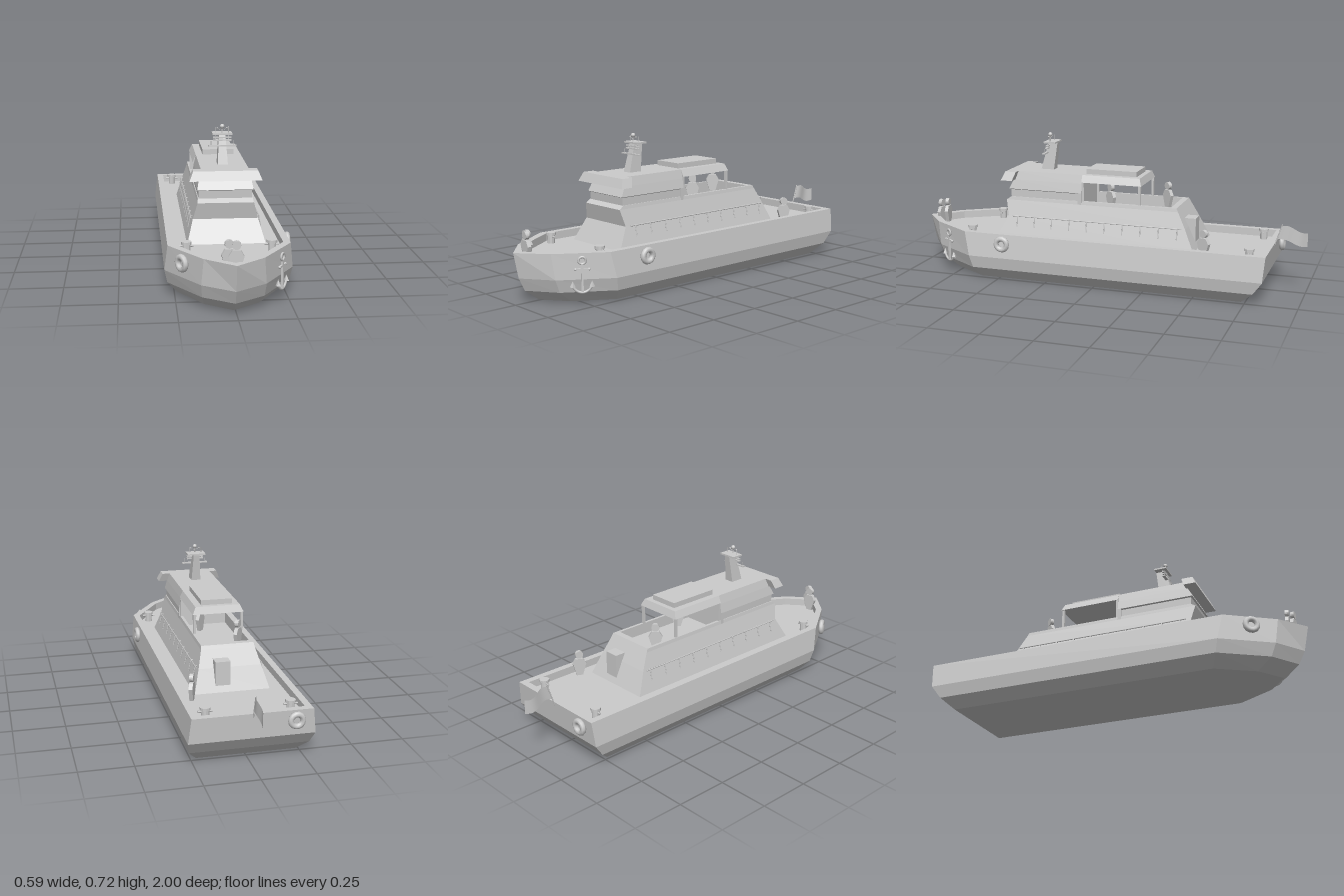
import * as THREE from 'three';

const flat = new THREE.MeshStandardMaterial({ color: 0xcccccc, flatShading: true });
const smooth = new THREE.MeshStandardMaterial({ color: 0xcccccc });
const thin = new THREE.MeshStandardMaterial({ color: 0xcccccc, side: THREE.DoubleSide });

function add(parent, name, geometry, [x, y, z] = [0, 0, 0], material = flat) {
  const mesh = new THREE.Mesh(geometry, material);
  mesh.name = name;
  mesh.position.set(x, y, z);
  parent.add(mesh);
  return mesh;
}

const box = (parent, name, w, h, d, at) => add(parent, name, new THREE.BoxGeometry(w, h, d), at);

// Cylinder between two points
function rod(parent, name, a, b, r, sides = 6) {
  const from = new THREE.Vector3(...a), to = new THREE.Vector3(...b);
  const mesh = add(parent, name, new THREE.CylinderGeometry(r, r, from.distanceTo(to), sides),
    from.clone().add(to).multiplyScalar(0.5).toArray(), smooth);
  mesh.quaternion.setFromUnitVectors(new THREE.Vector3(0, 1, 0), to.sub(from).normalize());
  return mesh;
}

// Skin over rings [y, [[x, z], ...]], closed at the first and last ring
function loft(rings) {
  const pos = [];
  const put = (...list) => list.forEach(([ring, i]) => {
    const [x, z] = ring[1][i];
    pos.push(x, ring[0], z);
  });
  const n = rings[0][1].length;
  for (let k = 0; k + 1 < rings.length; k++) {
    const lo = rings[k], hi = rings[k + 1];
    for (let i = 0; i < n; i++) {
      const j = (i + 1) % n;
      put([lo, i], [hi, i], [hi, j], [lo, i], [hi, j], [lo, j]);
    }
  }
  const first = rings[0], last = rings[rings.length - 1];
  for (let i = 1; i < n - 1; i++) {
    put([first, 0], [first, i], [first, i + 1]);
    put([last, 0], [last, i + 1], [last, i]);
  }
  const g = new THREE.BufferGeometry();
  g.setAttribute('position', new THREE.Float32BufferAttribute(pos, 3));
  g.computeVertexNormals();
  return g;
}

const rect = (y, w, front, back) => [y, [[w, back], [w, front], [-w, front], [-w, back]]];

// Hull outline: stern, shoulder, cheek, stem, mirrored
const outline = (y, w, stern, shoulder, cheekW, cheek, stem) => [y, [
  [w, stern], [w, shoulder], [cheekW, cheek], [0, stem],
  [-cheekW, cheek], [-w, shoulder], [-w, stern]]];

// Flat figure: tapered body with a disc head
function figure(parent, x, y, z, yaw) {
  const g = new THREE.Group();
  g.name = 'crewFigure';
  const s = new THREE.Shape([[-0.015, 0], [0.015, 0], [0.033, 0.06], [0.018, 0.086], [-0.018, 0.086], [-0.033, 0.06]]
    .map(p => new THREE.Vector2(...p)));
  add(g, 'figureBody', new THREE.ExtrudeGeometry(s, { depth: 0.018, bevelEnabled: false }), [0, 0, -0.009]);
  const head = add(g, 'figureHead', new THREE.CylinderGeometry(0.019, 0.019, 0.018, 16), [0, 0.107, 0], flat);
  head.rotation.x = Math.PI / 2;
  g.position.set(x, y, z);
  g.rotation.y = yaw;
  parent.add(g);
}

function lifeRing(parent, at, yaw) {
  const ring = add(parent, 'lifeRing', new THREE.TorusGeometry(0.028, 0.0135, 8, 14), at, smooth);
  ring.rotation.y = yaw;
}

function anchor(parent) {
  const g = new THREE.Group();
  g.name = 'anchor';
  add(g, 'anchorRing', new THREE.TorusGeometry(0.016, 0.0055, 6, 14), [0, 0.07, 0], smooth);
  box(g, 'anchorShank', 0.01, 0.13, 0.01, [0, -0.01, 0]);
  box(g, 'anchorStock', 0.06, 0.009, 0.01, [0, 0.03, 0]);
  const arms = add(g, 'anchorArms', new THREE.TorusGeometry(0.044, 0.006, 6, 14, Math.PI * 0.8), [0, -0.031, 0], smooth);
  arms.rotation.z = Math.PI * 1.1;
  for (const s of [-1, 1]) {
    add(g, 'anchorFluke', new THREE.ConeGeometry(0.013, 0.028, 4), [s * 0.043, -0.036, 0]);
    add(g, 'stockEnd', new THREE.SphereGeometry(0.007, 8, 6), [s * 0.03, 0.03, 0], smooth);
  }
  g.position.set(0.22, 0.138, 0.787);
  g.rotation.y = 1.0;
  parent.add(g);
}

function mast(parent) {
  const g = new THREE.Group();
  g.name = 'mast';
  add(g, 'mastColumn', loft([rect(0.525, 0.024, 0.352, 0.284), rect(0.668, 0.015, 0.314, 0.266)]));
  box(g, 'mastPlatform', 0.093, 0.008, 0.062, [0, 0.67, 0.297]);
  // Yards with upright aerials
  for (const [y, w, z] of [[0.615, 0.132, 0.322], [0.64, 0.086, 0.315], [0.652, 0.086, 0.312]])
    box(g, 'yard', w, 0.006, 0.014, [0, y, z]);
  for (const s of [-1, 1]) {
    rod(g, 'tallAerial', [s * 0.031, 0.67, 0.3], [s * 0.031, 0.7, 0.3], 0.0015);
    rod(g, 'shortAerial', [s * 0.053, 0.615, 0.322], [s * 0.053, 0.637, 0.322], 0.0015);
    rod(g, 'yardStrut', [s * 0.031, 0.638, 0.314], [s * 0.031, 0.668, 0.305], 0.0015);
    add(g, 'lampBulb', new THREE.SphereGeometry(0.004, 8, 6), [s * 0.022, 0.696, 0.31], smooth);
  }
  rod(g, 'lampPole', [0, 0.67, 0.31], [0, 0.705, 0.31], 0.003);
  const arm = add(g, 'lampArm', new THREE.TorusGeometry(0.022, 0.0018, 5, 12, Math.PI), [0, 0.699, 0.31], smooth);
  arm.rotation.z = Math.PI;
  arm.scale.y = 0.5;
  add(g, 'mastDome', new THREE.SphereGeometry(0.011, 12, 8), [0, 0.705, 0.31], smooth);
  parent.add(g);
}

export function createModel() {
  const root = new THREE.Group();
  const ship = new THREE.Group();
  ship.name = 'ship';
  ship.position.x = -0.007;
  root.add(ship);

  // Hull with bulwark and sunken deck
  add(ship, 'hull', loft([
    outline(0, 0.23, -0.73, 0.6, 0.12, 0.78, 0.87),
    outline(0.055, 0.275, -0.79, 0.63, 0.135, 0.85, 0.945),
    outline(0.117, 0.288, -0.835, 0.645, 0.14, 0.875, 0.975),
    outline(0.237, 0.274, -0.845, 0.67, 0.13, 0.89, 1.0),
    outline(0.237, 0.242, -0.812, 0.655, 0.112, 0.862, 0.955),
    outline(0.2, 0.242, -0.812, 0.655, 0.112, 0.862, 0.955)]));

  // Deckhouse with the open cockpit let into its top
  add(ship, 'deckhouse', loft([
    rect(0.198, 0.18, 0.54, -0.485), rect(0.305, 0.15, 0.482, -0.435),
    rect(0.383, 0.129, 0.5, -0.394), rect(0.4, 0.126, 0.475, -0.385),
    rect(0.4, 0.112, 0.1, -0.355), rect(0.345, 0.112, 0.1, -0.355)]));
  box(ship, 'aftDoorway', 0.072, 0.145, 0.075, [0.042, 0.272, -0.433]);

  // Wheelhouse with recessed window band
  add(ship, 'wheelhouse', loft([
    rect(0.385, 0.122, 0.475, 0.1), rect(0.436, 0.122, 0.478, 0.1),
    rect(0.44, 0.129, 0.486, 0.1), rect(0.487, 0.12, 0.462, 0.1), rect(0.53, 0.11, 0.455, 0.1)]));
  for (const s of [-1, 1]) box(ship, 'windowPillar', 0.01, 0.06, 0.018, [s * 0.124, 0.411, 0.109]);
  add(ship, 'visor', loft([rect(0.487, 0.166, 0.515, 0.455), rect(0.53, 0.148, 0.497, 0.44)]));

  // Canopy over the cockpit
  add(ship, 'canopy', loft([rect(0.495, 0.126, 0.1, -0.207), rect(0.53, 0.11, 0.1, -0.195)]));
  box(ship, 'roofHatch', 0.153, 0.027, 0.26, [0, 0.5415, -0.04]);
  for (const s of [-1, 1]) for (const z of [-0.198, 0.094])
    box(ship, 'canopyPost', 0.012, 0.1, 0.012, [s * 0.117, 0.447, z]);

  // Side handrails
  for (const s of [-1, 1]) {
    rod(ship, 'handrail', [s * 0.158, 0.307, 0.46], [s * 0.158, 0.307, -0.42], 0.003);
    for (let i = 0; i < 10; i++) {
      const z = 0.43 - i * 0.092;
      rod(ship, 'railPost', [s * 0.158, 0.307, z], [s * 0.169, 0.255, z], 0.003);
      rod(ship, 'railBracket', [s * 0.145, 0.307, z], [s * 0.158, 0.307, z], 0.003);
    }
  }

  mast(ship);

  // Mooring bollards
  for (const s of [-1, 1]) for (const z of [0.665, -0.757]) {
    const x = s * (z > 0 ? 0.19 : 0.194);
    add(ship, 'bollard', new THREE.CylinderGeometry(0.018, 0.018, 0.05, 10), [x, 0.223, z]);
    add(ship, 'bollardCap', new THREE.CylinderGeometry(0.024, 0.024, 0.012, 10), [x, 0.246, z]);
    rod(ship, 'bollardBar', [x - 0.033, 0.232, z], [x + 0.033, 0.232, z], 0.005);
  }

  lifeRing(ship, [0.288, 0.19, 0.465], Math.PI / 2);
  lifeRing(ship, [-0.218, 0.19, 0.787], -1.0);
  lifeRing(ship, [-0.195, 0.19, -0.852], 0);
  anchor(ship);

  figure(ship, -0.025, 0.2, 0.912, 0.1);
  figure(ship, 0.004, 0.2, 0.934, -0.1);
  figure(ship, 0.205, 0.2, -0.54, 1.15);
  figure(ship, -0.075, 0.358, -0.29, 0.9);
  figure(ship, 0.05, 0.358, -0.03, 0.9);

  // Ensign: a rippled sheet hung from a raked staff
  rod(ship, 'flagStaff', [0, 0.2, -0.835], [0, 0.33, -0.877], 0.003);
  const sheet = new THREE.PlaneGeometry(1, 1, 12, 2);
  const p = sheet.attributes.position;
  for (let i = 0; i < p.count; i++) {
    const u = p.getX(i) + 0.5, v = p.getY(i) + 0.5;
    p.setXYZ(i, 0.006 * Math.sin(u * 7),
      0.255 + 0.068 * v - 0.025 * u + 0.009 * Math.sin(u * 6.3),
      -0.853 - 0.02 * v - u * (0.147 - 0.02 * v));
  }
  sheet.computeVertexNormals();
  add(ship, 'flag', sheet, [0, 0, 0], thin);

  return root;
}
